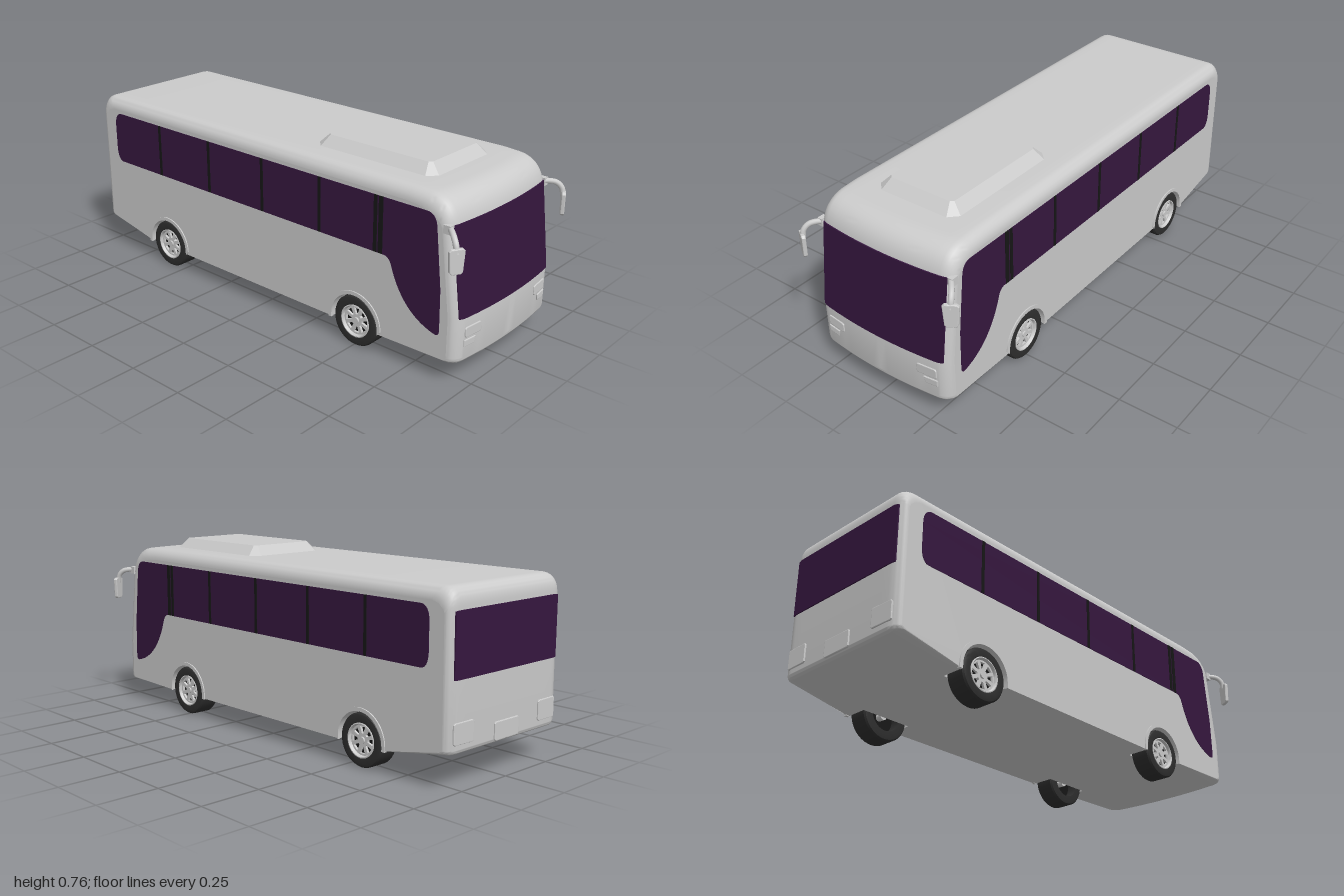
import * as THREE from 'three';
import { toCreasedNormals } from 'three/addons/utils/BufferGeometryUtils.js';

const mat = (color) => new THREE.MeshStandardMaterial({ color });
const GREY = mat(0xcccccc), GLASS = mat(0x36173f), BLACK = mat(0x161616), RUBBER = mat(0x2e2e2e);
const HALF = 0.32, ROUND = 0.05, AXLES = [0.505, -0.572], AXLE_Y = 0.105;
const clamp = (v) => Math.min(1, Math.max(0, v));

function add(parent, name, geo, material) {
  const mesh = new THREE.Mesh(geo, material);
  mesh.name = name;
  parent.add(mesh);
  return mesh;
}

// Move every vertex by a rule
function warp(geo, rule) {
  const p = geo.attributes.position, v = new THREE.Vector3();
  for (let i = 0; i < p.count; i++) {
    rule(v.fromBufferAttribute(p, i));
    p.setXYZ(i, v.x, v.y, v.z);
  }
  return geo;
}

// Rounds the shell towards its sides and bows the nose
function bodyCurve(v) {
  const a = Math.min(1, Math.max(0, Math.abs(v.x) - (HALF - ROUND)) / ROUND);
  const inset = ROUND * (1 - Math.sqrt(1 - a * a));
  const y = v.y, z = v.z;
  v.y += -inset * clamp((y - 0.6) / 0.1) + (y < 0.15 && Math.abs(z) > 0.7 ? inset * 0.2 : 0);
  v.z -= clamp((z - 0.7) / 0.15) * (0.7 * inset + 0.025 * (v.x / HALF) ** 2);
  v.z += clamp((-z - 0.85) / 0.1) * 0.6 * inset;
}
const frontZ = (y) => (y < 0.27 ? 0.99 : 0.99 - (y - 0.27) * 0.126);
const REAR_Z = -0.994;

// Extrudes a (z, y) outline sideways, ending at xMax
function sideExtrude(shape, depth, xMax, steps = 1) {
  return new THREE.ExtrudeGeometry(shape, { depth, steps, bevelEnabled: false, curveSegments: 14 })
    .rotateY(-Math.PI / 2).translate(xMax, 0, 0);
}

function bodyGeometry() {
  const s = new THREE.Shape();
  s.moveTo(0.975, 0.088);
  s.quadraticCurveTo(0.99, 0.09, 0.99, 0.11);
  s.lineTo(0.99, 0.27);
  s.lineTo(0.947, 0.61);
  s.quadraticCurveTo(0.93, 0.712, 0.83, 0.716);
  s.lineTo(0.75, 0.72);
  s.lineTo(-0.93, 0.72);
  s.quadraticCurveTo(-0.992, 0.72, -0.992, 0.65);
  s.lineTo(-0.994, 0.155);
  s.quadraticCurveTo(-0.994, 0.135, -0.975, 0.133);
  s.lineTo(-0.72, 0.09);
  for (const z of [...AXLES].reverse()) {
    s.lineTo(z - 0.113, 0.09);
    s.absarc(z, AXLE_Y, 0.113, Math.PI, 0, true);
    s.lineTo(z + 0.113, 0.09);
  }
  let geo = sideExtrude(s, 2 * HALF, HALF, 28);
  warp(geo, (v) => {
    // crowd the sections into the rounded edges
    const u = Math.abs(v.x) / HALF, flat = HALF - ROUND;
    const x = u < 0.5 ? u * 2 * flat : flat + ROUND * Math.sin((u - 0.5) * Math.PI);
    v.x = Math.sign(v.x) * x;
    bodyCurve(v);
  });
  geo = toCreasedNormals(geo, 0.5);
  // keep the flat side walls evenly shaded
  const p = geo.attributes.position, n = geo.attributes.normal;
  for (let i = 0; i < p.count; i += 3) {
    if ([0, 1, 2].every((k) => Math.abs(p.getX(i + k)) > HALF - 1e-4)) {
      for (let k = 0; k < 3; k++) n.setXYZ(i + k, Math.sign(p.getX(i)), 0, 0);
    }
  }
  return geo;
}

function sideWindowShape() {
  const s = new THREE.Shape();
  s.moveTo(0.64, 0.43);
  s.quadraticCurveTo(0.665, 0.428, 0.675, 0.395);
  s.bezierCurveTo(0.71, 0.29, 0.775, 0.215, 0.875, 0.19);
  s.quadraticCurveTo(0.896, 0.185, 0.896, 0.21);
  s.lineTo(0.893, 0.37);
  s.lineTo(0.867, 0.61);
  s.quadraticCurveTo(0.86, 0.655, 0.82, 0.655);
  s.lineTo(-0.86, 0.655);
  s.quadraticCurveTo(-0.895, 0.65, -0.897, 0.6);
  s.lineTo(-0.897, 0.49);
  s.quadraticCurveTo(-0.895, 0.435, -0.865, 0.43);
  return s;
}

// Raised panel that follows the nose or tail
function panel(parent, name, corners, baseZ) {
  const s = new THREE.Shape(corners.map(([x, y]) => new THREE.Vector2(x, y)));
  const geo = new THREE.ExtrudeGeometry(s, { depth: 0.008, bevelThickness: 0.002, bevelSize: 0.003, bevelOffset: -0.003, bevelSegments: 2 });
  add(parent, name, warp(geo.translate(0, 0, baseZ), bodyCurve), GREY);
}
const rect = (x0, x1, y0, y1, c = 0.006) => [[x0 + c, y0], [x1 - c, y0], [x1, y0 + c], [x1, y1 - c],
  [x1 - c, y1], [x0 + c, y1], [x0, y1 - c], [x0, y0 + c]];

// Wheel with its outer face towards +x
function makeWheel() {
  const g = new THREE.Group();
  g.name = 'wheel';
  const lathe = (pts) => toCreasedNormals(new THREE.LatheGeometry(pts.map(([r, a]) => new THREE.Vector2(r, a)), 40)
    .rotateZ(-Math.PI / 2), 0.6);
  add(g, 'tyre', lathe([[0.066, -0.045], [0.09, -0.045], [0.1, -0.043], [0.105, -0.036], [0.105, 0.036], [0.1, 0.043],
    [0.09, 0.046], [0.07, 0.044], [0.066, 0.038], [0.066, -0.045]]), RUBBER);
  add(g, 'rimLip', lathe([[0.06, 0.02], [0.066, 0.03], [0.068, 0.045], [0.064, 0.046], [0.06, 0.04], [0.058, 0.02]]), GREY)
    .material = new THREE.MeshStandardMaterial({ color: 0xcccccc, side: THREE.DoubleSide });
  const disc = new THREE.Shape().absarc(0, 0, 0.064, 0, Math.PI * 2);
  for (let i = 0; i < 8; i++) {
    const a = (i * Math.PI) / 4, h = new THREE.Path();
    const at = (r, d) => [r * Math.cos(a + d), r * Math.sin(a + d)];
    h.moveTo(...at(0.026, -0.15));
    h.lineTo(...at(0.053, -0.24));
    h.lineTo(...at(0.053, 0.24));
    h.lineTo(...at(0.026, 0.15));
    disc.holes.push(h);
  }
  add(g, 'spokes', new THREE.ExtrudeGeometry(disc, { depth: 0.01, bevelEnabled: false, curveSegments: 32 })
    .rotateY(Math.PI / 2).translate(0.024, 0, 0), GREY);
  add(g, 'brakeDisc', new THREE.CylinderGeometry(0.066, 0.066, 0.01, 32).rotateZ(Math.PI / 2).translate(0.005, 0, 0), BLACK);
  add(g, 'hub', new THREE.CylinderGeometry(0.013, 0.016, 0.07, 20).rotateZ(-Math.PI / 2).translate(0.005, 0, 0), GREY);
  return g;
}

// Mirror on a bent arm, s = +1 for the left side
function makeMirror(s) {
  const g = new THREE.Group();
  g.name = s > 0 ? 'leftMirror' : 'rightMirror';
  const path = new THREE.CatmullRomCurve3([[0.3, 0.609, 0.905], [0.325, 0.61, 0.93], [0.345, 0.603, 0.953],
    [0.356, 0.583, 0.97], [0.358, 0.55, 0.978]].map(([x, y, z]) => new THREE.Vector3(s * x, y, z)));
  add(g, 'mirrorArm', new THREE.TubeGeometry(path, 24, 0.011, 10), GREY);
  add(g, 'mirrorBracket', new THREE.BoxGeometry(0.022, 0.032, 0.03).translate(s * 0.314, 0.608, 0.91), GREY);
  const s2 = new THREE.Shape(rect(-0.028, 0.028, -0.048, 0.048, 0.008).map(([x, y]) => new THREE.Vector2(x * (1 + y * 2.5), y)));
  const head = new THREE.ExtrudeGeometry(s2, { depth: 0.008, bevelThickness: 0.004, bevelSize: 0.004, bevelOffset: -0.004, bevelSegments: 3 });
  add(g, 'mirrorHead', head.translate(0, 0, -0.004).rotateY(s * 0.54).translate(s * 0.36, 0.523, 0.978), GREY);
  return g;
}

export function createModel() {
  const bus = new THREE.Group();
  bus.name = 'coach';
  add(bus, 'body', bodyGeometry(), GREY);

  // Windscreen and rear window
  const screen = new THREE.BoxGeometry(0.596, 0.35, 0.008, 36, 4, 1).translate(0, 0.445, 0);
  add(bus, 'windscreen', warp(screen, (v) => { v.z += frontZ(v.y); bodyCurve(v); }), GLASS);
  const rear = new THREE.BoxGeometry(0.59, 0.24, 0.008, 36, 2, 1).translate(0, 0.52, REAR_Z);
  add(bus, 'rearWindow', warp(rear, bodyCurve), GLASS);

  // Parts on both sides
  for (const s of [1, -1]) {
    const slab = (shape, thick) => sideExtrude(shape, 0.008 + thick, s > 0 ? HALF + thick : -HALF + 0.008);
    add(bus, 'sideWindow', slab(sideWindowShape(), 0.002), GLASS);
    for (const [z, w] of [[0.622, 0.02], [0.597, 0.016], [0.325, 0.014], [0.02, 0.014], [-0.288, 0.014], [-0.595, 0.014]]) {
      add(bus, 'windowPillar', new THREE.BoxGeometry(0.008, 0.224, w).translate(s * HALF, 0.543, z), BLACK);
    }
    for (const z of AXLES) {
      const arch = new THREE.Shape();
      arch.moveTo(z + 0.128, 0.088);
      arch.absarc(z, AXLE_Y, 0.128, 0, Math.PI, false);
      arch.lineTo(z - 0.128, 0.088);
      arch.lineTo(z - 0.113, 0.088);
      arch.absarc(z, AXLE_Y, 0.113, Math.PI, 0, true);
      arch.lineTo(z + 0.113, 0.088);
      add(bus, 'wheelArch', toCreasedNormals(slab(arch, 0.005), 0.5), GREY);
      const wheel = makeWheel();
      wheel.position.set(s * 0.273, AXLE_Y, z);
      wheel.rotation.y = s > 0 ? 0 : Math.PI;
      bus.add(wheel);
    }
    bus.add(makeMirror(s));

    // Lamps
    const flip = (pts) => (s > 0 ? pts : pts.map(([x, y]) => [-x, y]).reverse());
    panel(bus, 'headlight', flip(rect(0.183, 0.27, 0.189, 0.23)), 0.985);
    panel(bus, 'fogLight', flip([[0.22, 0.154], [0.273, 0.154], [0.274, 0.18], [0.213, 0.18]]), 0.985);
    panel(bus, 'tailLight', flip(rect(0.19, 0.295, 0.17, 0.25)), REAR_Z - 0.004);
  }
  panel(bus, 'rearPlate', rect(-0.07, 0.07, 0.145, 0.215), REAR_Z - 0.004);

  // Floor between the wheels
  for (const z of AXLES) {
    add(bus, 'innerWheelWell', new THREE.BoxGeometry(0.45, 0.16, 0.24).translate(0, 0.17, z), GREY);
  }

  // Roof air-conditioning unit
  const unit = new THREE.Shape(rect(-0.152, 0.152, -0.245, 0.245, 0.012).map(([x, y]) => new THREE.Vector2(x, y)));
  const ac = new THREE.ExtrudeGeometry(unit, { depth: 0.01, bevelThickness: 0.045, bevelSize: 0.045, bevelSegments: 1 });
  add(bus, 'roofUnit', ac.rotateX(-Math.PI / 2).translate(0, 0.705, 0.467), GREY);

  return bus;
}
